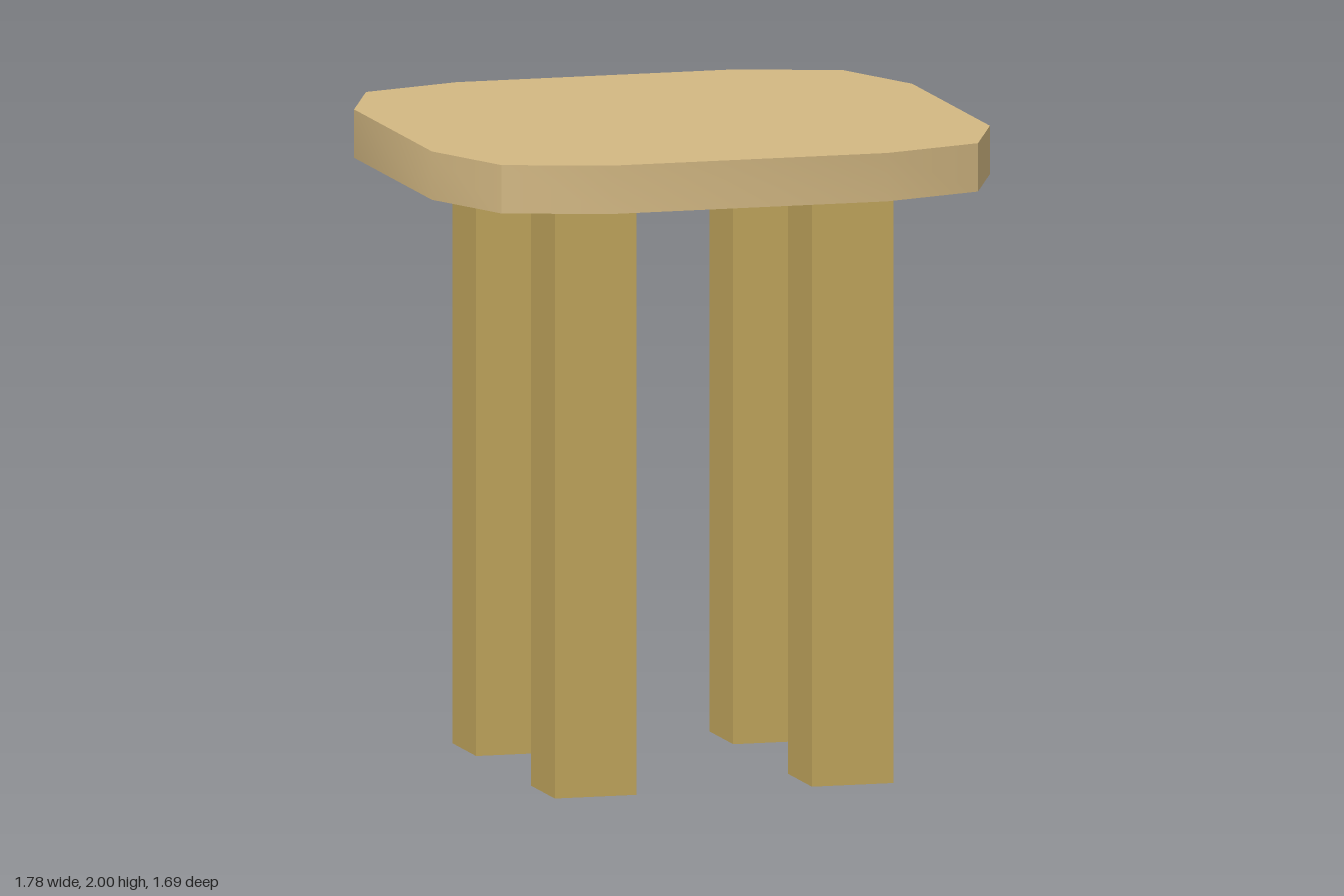
import * as THREE from 'three';
import { toCreasedNormals } from 'three/addons/utils/BufferGeometryUtils.js';

const SEAT_BOTTOM = 1.85, SEAT_TOP = 2;

export function createModel() {
  const model = new THREE.Group();
  model.name = 'stool';
  const seatWood = new THREE.MeshStandardMaterial({ color: 0xd2b782 });
  const legWood = new THREE.MeshStandardMaterial({ color: 0xc0a55c });

  // Seat: square slab with clipped corners, softly shaded along each side
  const corner = [[0.89, 0.425], [0.76, 0.74], [0.44, 0.845]];
  const outline = [];
  for (const [sx, sz] of [[1, 1], [-1, 1], [-1, -1], [1, -1]]) {
    const points = corner.map(([x, z]) => new THREE.Vector2(x * sx, z * sz));
    outline.push(...(sx * sz > 0 ? points : points.reverse()));
  }
  const slab = new THREE.ExtrudeGeometry(new THREE.Shape(outline), {
    depth: SEAT_TOP - SEAT_BOTTOM, bevelEnabled: false,
  });
  slab.rotateX(-Math.PI / 2);
  const seat = new THREE.Mesh(toCreasedNormals(slab, Math.PI / 6), seatWood);
  seat.name = 'seat';
  seat.position.y = SEAT_BOTTOM;
  model.add(seat);

  // Four square legs
  const post = new THREE.BoxGeometry(0.26, SEAT_BOTTOM, 0.26);
  for (const [row, z] of [['front', 0.44], ['back', -0.42]]) {
    for (const [side, x] of [['Left', 0.41], ['Right', -0.41]]) {
      const leg = new THREE.Mesh(post, legWood);
      leg.name = `${row}${side}Leg`;
      leg.position.set(x, SEAT_BOTTOM / 2, z);
      model.add(leg);
    }
  }
  return model;
}
